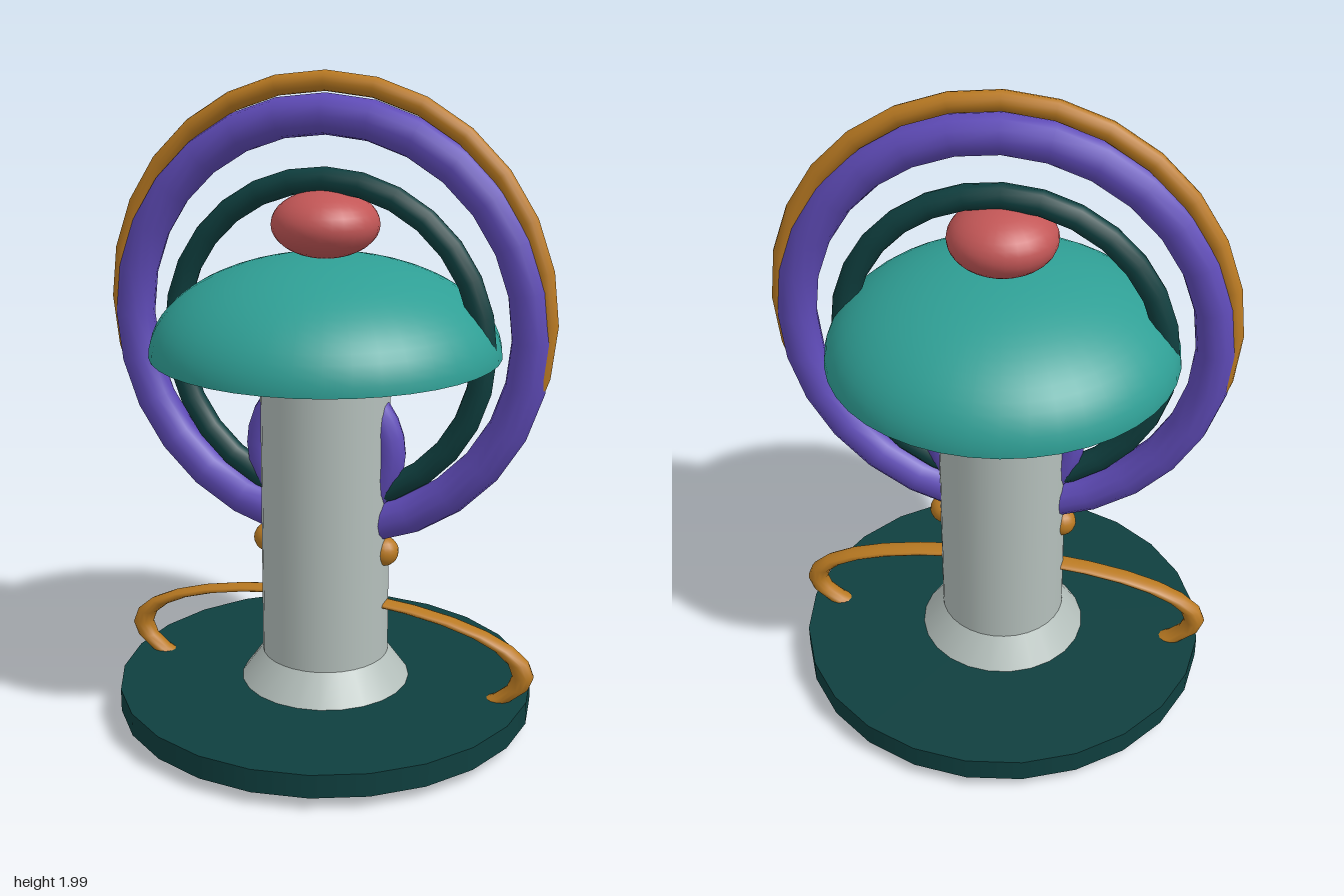
import * as THREE from 'three';

const material = (name, color, side = THREE.FrontSide) => {
  const m = new THREE.MeshStandardMaterial({ color, side });
  m.name = name;
  return m;
};

export function createModel() {
  const group = new THREE.Group();
  const darkGreen = material('dark green', 0x0f3f3f);
  const teal = material('teal', 0x2f9f95, THREE.DoubleSide);
  const grey = material('pale grey', 0xb4bfbb);
  const purple = material('purple', 0x5f4bb8);
  const gold = material('gold', 0xba7a22);
  const red = material('red', 0xc25656);

  const add = (name, geometry, mat, x, y) => {
    const mesh = new THREE.Mesh(geometry, mat);
    mesh.name = name;
    mesh.position.set(x, y, 0);
    group.add(mesh);
    return mesh;
  };
  // Upright ring facing the front
  const ring = (name, mat, y, radius, tube) =>
    add(name, new THREE.TorusGeometry(radius, tube, 12, 28), mat, 0, y);

  // Base plate, flared foot and column
  add('basePlate', new THREE.CylinderGeometry(0.65, 0.65, 0.072, 24), darkGreen, 0, 0.081);
  add('foot', new THREE.CylinderGeometry(0.195, 0.267, 0.1, 24), grey, 0, 0.163);
  add('column', new THREE.CylinderGeometry(0.198, 0.198, 0.96, 32), grey, 0, 0.69);

  // Hollow dome cap with a flattened knob
  add('domeCap', new THREE.SphereGeometry(0.53, 40, 16, 0, Math.PI * 2, 0, Math.PI / 2), teal, 0, 1.17)
    .scale.y = 0.296 / 0.53;
  add('knob', new THREE.SphereGeometry(0.162, 28, 18), red, 0, 1.558).scale.y = 0.62;

  // Nested upright rings
  ring('outerRing', gold, 1.3, 0.67, 0.03);
  ring('mainRing', purple, 1.25, 0.626, 0.06);
  ring('innerRing', darkGreen, 1.2, 0.487, 0.038);
  ring('smallRing', purple, 0.87, 0.205, 0.05);

  // Flattened ring passing through the base
  ring('baseRing', gold, 0.203, 0.637, 0.033).scale.y = 0.295;

  // Beads on both sides of the column
  for (const side of [-1, 1]) {
    add('bead', new THREE.SphereGeometry(0.046, 16, 12), gold, side * 0.19, 0.555);
  }
  return group;
}
